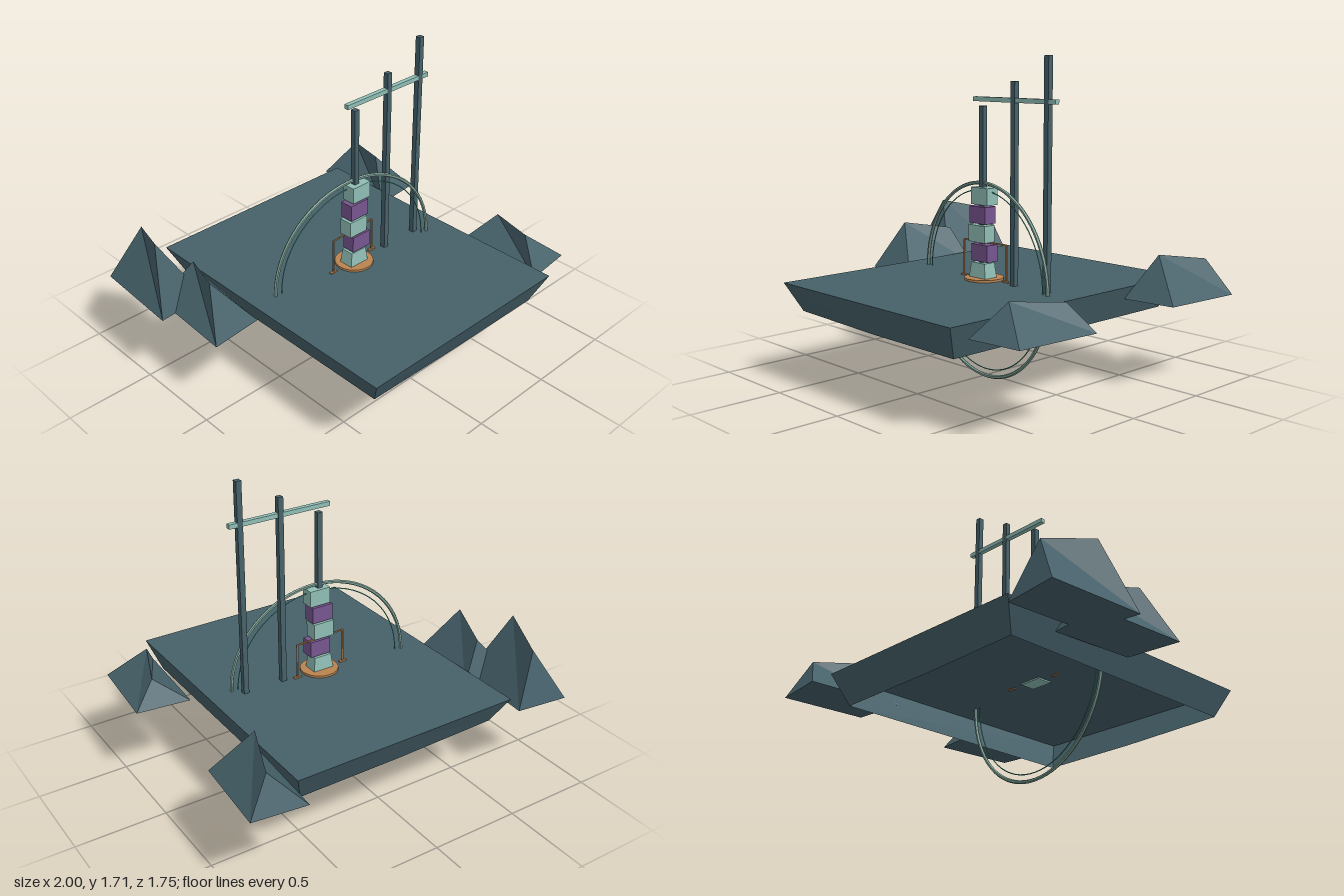
import * as THREE from 'three';

const material = (name, color) =>
  Object.assign(new THREE.MeshStandardMaterial({ color, flatShading: true, side: THREE.DoubleSide }), { name });

// Faceted geometry from points and polygons (each polygon is fanned into triangles)
function faceted(points, polygons) {
  const pos = [];
  for (const p of polygons)
    for (let i = 1; i < p.length - 1; i++) pos.push(...points[p[0]], ...points[p[i]], ...points[p[i + 1]]);
  const g = new THREE.BufferGeometry();
  g.setAttribute('position', new THREE.Float32BufferAttribute(pos, 3));
  g.computeVertexNormals();
  return g;
}

export function createModel() {
  const slate = material('slate', 0x46616a);
  const paleTeal = material('pale teal', 0x90beb5);
  const purple = material('purple', 0x77568f);
  const copper = material('copper', 0xba8350);
  const ringTeal = material('ring teal', 0x7fa398);
  const brightTeal = material('bright teal', 0x4fb09c);

  const model = new THREE.Group();
  const CX = 0.013, CZ = 0.05, DECK = 0.54;

  function add(name, geometry, mat, x = 0, y = 0, z = 0) {
    const mesh = new THREE.Mesh(geometry, mat);
    mesh.name = name;
    mesh.position.set(x, y, z);
    model.add(mesh);
    return mesh;
  }
  const box = (name, mat, w, h, d, x, y, z) => add(name, new THREE.BoxGeometry(w, h, d), mat, x, y, z);

  // Platform: flat deck with a sloping skirt, open underneath
  const outline = (x0, x1, z0, z1, ys) => {
    const xm = (x0 + x1) / 2;
    return [[x0, ys[0], z1], [xm, ys[1], z1], [x1, ys[2], z1], [x1, ys[2], z0], [xm, ys[1], z0], [x0, ys[0], z0]];
  };
  const deckRim = outline(-0.64, 0.667, -0.775, 0.865, [DECK, DECK, DECK]);
  const lowerRim = outline(-0.575, 0.605, -0.69, 0.79, [0.388, 0.374, 0.372]);
  const skirt = deckRim.map((_, i) => [i, i + 6, (i + 1) % 6 + 6, (i + 1) % 6]);
  add('platform', faceted([...deckRim, ...lowerRim], [[0, 1, 2, 3, 4, 5], ...skirt]), slate);

  // Rocks: skewed blocks rising to a sloping ridge
  const rock = (x, z, h) => {
    const pts = [[-0.13, 0, -0.27], [0.165, 0, -0.237], [0.13, 0, 0.225], [-0.16, 0, 0.255],
      [0.037, h * 0.82, -0.17], [-0.062, h, 0.1]];
    const faces = [[0, 1, 2, 3], [0, 4, 1], [1, 4, 5, 2], [2, 5, 3], [3, 5, 4, 0]];
    add('rock', faceted(pts, faces), slate, x, 0.472, z);
  };
  rock(-0.84, -0.57, 0.355);
  rock(-0.775, -0.21, 0.26);
  rock(0.80, -0.61, 0.225);
  rock(0.835, 0.51, 0.163);

  // Three posts of rising height, joined by a crossbar
  [1.455, 1.585, 1.715].forEach((top, i) =>
    box('post', slate, 0.03, top - DECK, 0.03, CX + i * 0.231, (top + DECK) / 2, CZ));
  box('crossbar', paleTeal, 0.585, 0.024, 0.026, 0.243, 1.49, CZ);

  // Stack of alternating blocks, each slightly off centre
  [0.024, 0.005, 0.024, 0.011, 0.025].forEach((x, i) => {
    if (i === 0) return;
    box('stackBlock', i % 2 ? purple : paleTeal, 0.122, 0.09, 0.075, [0, 0.025, 0.003, 0.01, 0.025][i], 0.587 + i * 0.1, CZ + 0.003);
  });

  // Tapered foot of the stack, sunk a little through the deck
  const foot = add('stackFoot', new THREE.CylinderGeometry(0.072, 0.09, 0.1, 4, 1).rotateY(Math.PI / 4), paleTeal, 0.01, 0.582, CZ);
  foot.scale.z = 0.7;

  // Round base plate
  add('basePlate', new THREE.CylinderGeometry(0.105, 0.105, 0.012, 24), copper, 0.015, 0.547, 0.045);

  // Slim frame standing over the base, with small foot plates
  const frameEnds = [[-0.138, 0.045], [0.165, 0.027]];
  for (const [x, z] of frameEnds) {
    box('framePost', copper, 0.008, 0.2, 0.008, x, 0.64, z);
    box('frameFoot', copper, 0.045, 0.014, 0.014, x, 0.541, z);
  }
  const frameBar = box('frameBar', copper, 0.303, 0.007, 0.007, 0.0135, 0.738, 0.036);
  frameBar.rotation.y = 0.059;

  // Large hoop with a fine inner hoop, turned slightly and passing through the platform
  const hoop = (name, r, tube, mat) => {
    add(name, new THREE.TorusGeometry(r, tube, 6, 72), mat, 0.015, 0.535, 0.047).rotation.y = -0.105;
  };
  hoop('outerHoop', 0.518, 0.01, ringTeal);
  hoop('innerHoop', 0.48, 0.003, brightTeal);

  return model;
}
